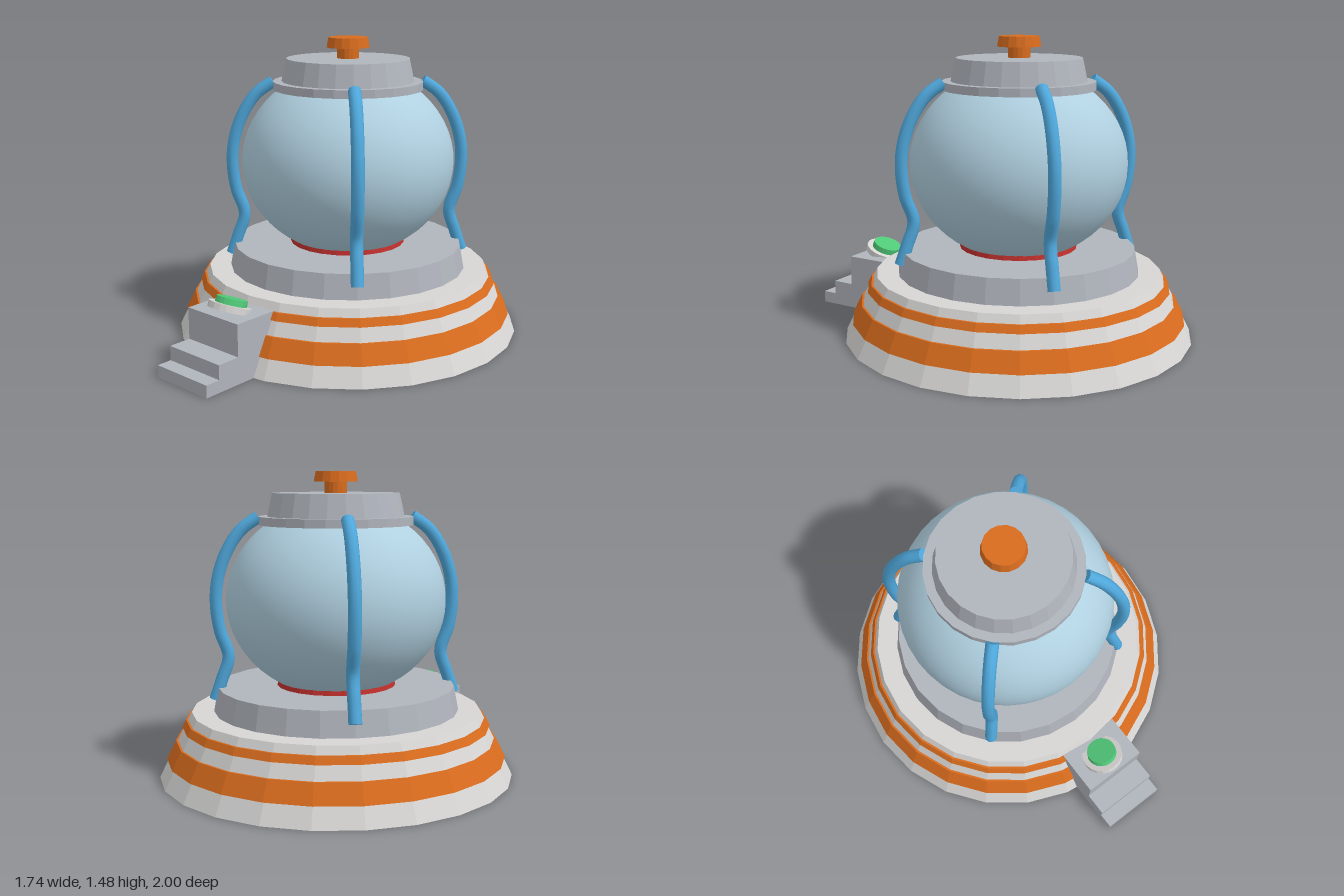
import * as THREE from 'three';

const paint = (name, hex) => {
  const m = new THREE.MeshStandardMaterial({ color: hex });
  m.name = name;
  return m;
};

export function createModel() {
  const lightGrey = paint('light grey', 0xd6d5d4);
  const grey = paint('grey', 0xb0b4bc);
  const orange = paint('orange', 0xd96c1e);
  const red = paint('red', 0xc0302c);
  const glass = paint('pale blue', 0xb0d0e0);
  const blue = paint('blue', 0x4fa8dc);
  const green = paint('green', 0x50c878);

  const model = new THREE.Group();
  model.name = 'domeStation';
  const body = new THREE.Group();
  body.name = 'body';
  body.position.z = -0.13;
  model.add(body);

  const add = (parent, name, geometry, material) => {
    const mesh = new THREE.Mesh(geometry, material);
    mesh.name = name;
    parent.add(mesh);
    return mesh;
  };
  // Faceted frustum between two heights
  const facet = (geometry) => {
    const g = geometry.toNonIndexed();
    g.computeVertexNormals();
    return g;
  };
  const ring = (name, r0, y0, r1, y1, material, sides = 24) => {
    const mesh = add(body, name, facet(new THREE.CylinderGeometry(r1, r0, y1 - y0, sides)), material);
    mesh.position.y = (y0 + y1) / 2;
    return mesh;
  };

  // Stepped base with painted bands
  ring('base', 0.87, 0, 0.71, 0.32, lightGrey);
  ring('lowerBand', 0.834, 0.092, 0.789, 0.182, orange);
  ring('upperBand', 0.757, 0.247, 0.739, 0.282, orange);
  ring('platform', 0.602, 0.32, 0.58, 0.44, grey);

  // Vessel
  ring('sealRing', 0.292, 0.44, 0.287, 0.466, red);
  const vessel = add(body, 'vessel', new THREE.SphereGeometry(0.535, 40, 28), glass);
  vessel.scale.y = 0.472 / 0.535;
  vessel.position.y = 0.86;

  // Lid and knob
  ring('lidRim', 0.375, 1.223, 0.375, 1.263, grey);
  ring('lid', 0.332, 1.263, 0.308, 1.375, grey);
  ring('knobStem', 0.055, 1.375, 0.055, 1.43, orange, 16);
  ring('knob', 0.107, 1.428, 0.098, 1.478, orange, 16);

  // Four curved struts on the diagonals
  const strutRadius = 0.031;
  const strutCurve = new THREE.CatmullRomCurve3([
    [0.594, 0.38], [0.56, 0.48], [0.527, 0.59], [0.567, 0.72], [0.583, 0.86],
    [0.57, 0.98], [0.527, 1.1], [0.46, 1.2], [0.375, 1.262],
  ].map(([r, y]) => new THREE.Vector3(0, y, r)));
  const strutGeometry = new THREE.TubeGeometry(strutCurve, 36, strutRadius, 10);
  const capGeometry = new THREE.CircleGeometry(strutRadius, 10);
  for (let i = 0; i < 4; i++) {
    const strut = new THREE.Group();
    strut.name = 'strut' + (i + 1);
    strut.rotation.y = Math.PI / 4 + i * Math.PI / 2;
    add(strut, 'strutTube', strutGeometry, blue);
    for (const t of [0, 1]) {
      const cap = add(strut, t ? 'strutTop' : 'strutFoot', capGeometry, blue);
      cap.position.copy(strutCurve.getPoint(t));
      const out = strutCurve.getTangent(t).multiplyScalar(t ? 1 : -1);
      cap.quaternion.setFromUnitVectors(new THREE.Vector3(0, 0, 1), out);
    }
    body.add(strut);
  }

  // Front steps, side profile (z, y) extruded across x
  const profile = new THREE.Shape([
    [0.7, 0], [1, 0], [1, 0.06], [0.925, 0.06], [0.925, 0.13],
    [0.81, 0.13], [0.81, 0.285], [0.58, 0.285],
  ].map(([z, y]) => new THREE.Vector2(z, y)));
  const stepGeometry = new THREE.ExtrudeGeometry(profile, { depth: 0.33, bevelEnabled: false });
  stepGeometry.translate(0, 0, -0.165);
  stepGeometry.rotateY(-Math.PI / 2);
  add(model, 'steps', stepGeometry, grey);

  // Tilted button on the top step
  const button = new THREE.Group();
  button.name = 'button';
  button.position.set(0, 0.295, 0.7);
  button.rotation.x = -0.36;
  model.add(button);
  add(button, 'buttonPlate', facet(new THREE.CylinderGeometry(0.105, 0.105, 0.03, 20)), lightGrey);
  const top = add(button, 'buttonTop', facet(new THREE.CylinderGeometry(0.074, 0.077, 0.032, 20)), green);
  top.position.y = 0.028;

  return model;
}
